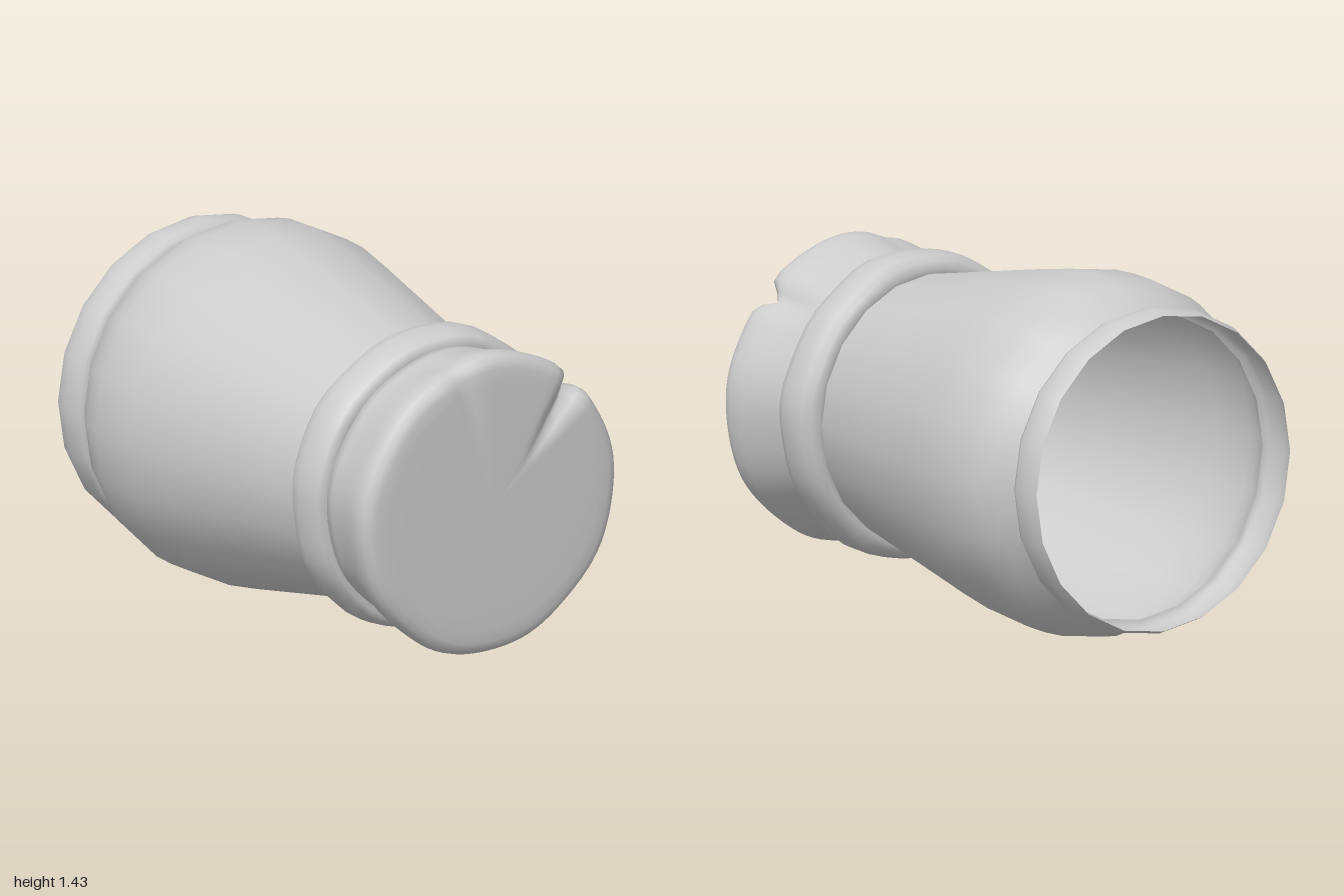
import * as THREE from 'three';
import { mergeVertices } from 'three/addons/utils/BufferGeometryUtils.js';

const AXIS_Y = 0.717;
const bump = (a, centre, width) => Math.exp(-(((a - centre) / width) ** 2));

// Lathe of [radius, z] pairs around the lying z axis, optionally reshaped by a rule
function turned(name, profile, sides, side, rule) {
  const points = profile.map(([r, z]) => new THREE.Vector2(r, z));
  let geo = new THREE.LatheGeometry(points, sides).rotateX(Math.PI / 2);
  if (rule) {
    const pos = geo.attributes.position;
    for (let i = 0; i < pos.count; i++) {
      const r = Math.hypot(pos.getX(i), pos.getY(i));
      const a = Math.atan2(pos.getY(i), pos.getX(i));
      const [r2, z2] = rule(r, a, pos.getZ(i));
      pos.setXYZ(i, r2 * Math.cos(a), r2 * Math.sin(a), z2);
    }
    geo.deleteAttribute('normal');
    geo.deleteAttribute('uv');
    geo = mergeVertices(geo, 1e-4);
    geo.computeVertexNormals();
  }
  const mesh = new THREE.Mesh(geo, new THREE.MeshStandardMaterial({ color: 0xcccccc, side }));
  mesh.name = name;
  mesh.position.y = AXIS_Y;
  return mesh;
}

export function createModel() {
  const group = new THREE.Group();
  group.name = 'lyingPot';

  // Thin hollow belly, widest towards the mouth
  group.add(turned('body', [
    [0.605, -0.855], [0.66, -0.78], [0.695, -0.71], [0.711, -0.64], [0.715, -0.54],
    [0.711, -0.43], [0.68, -0.26], [0.605, 0.1], [0.53, 0.46],
  ], 20, THREE.DoubleSide));

  // Flared lip around the open mouth
  group.add(turned('lip', [
    [0.626, -1], [0.638, -0.975], [0.645, -0.935], [0.639, -0.885], [0.627, -0.862], [0.605, -0.855],
  ], 20, THREE.DoubleSide));

  // Inner floor
  const floor = new THREE.Mesh(
    new THREE.CircleGeometry(0.53, 20),
    new THREE.MeshStandardMaterial({ color: 0xcccccc, side: THREE.DoubleSide })
  );
  floor.name = 'floor';
  floor.position.set(0, AXIS_Y, 0.458);
  group.add(floor);

  // Soft, slightly uneven collar between belly and foot
  group.add(turned('collar', [
    [0.5, 0.46], [0.545, 0.455], [0.575, 0.465], [0.598, 0.495], [0.606, 0.54], [0.602, 0.6],
    [0.585, 0.645], [0.56, 0.664], [0.5, 0.66], [0.5, 0.46],
  ], 48, THREE.DoubleSide, (r, a, z) => {
    const wave = 0.004 * Math.sin(5 * a + 1) + 0.003 * Math.sin(11 * a);
    return [r + (r > 0.55 ? wave : 0), z + (z > 0.5 ? 0.4 * wave : 0)];
  }));

  // Solid flared foot with a pinched fold and a small dent in its rim
  group.add(turned('foot', [
    [0.5, 0.64], [0.548, 0.655], [0.552, 0.7], [0.563, 0.76], [0.58, 0.83], [0.598, 0.89],
    [0.604, 0.935], [0.598, 0.965], [0.58, 0.988], [0.55, 0.997], [0.5, 1], [0.4, 1],
    [0.3, 1], [0.2, 1], [0, 1],
  ], 96, THREE.FrontSide, (r, a, z) => {
    const fold = bump(a, 0.8, 0.075);
    const dent = bump(a, 1.82, 0.09);
    const alongSide = THREE.MathUtils.smoothstep(z, 0.64, 0.9);
    const onFace = THREE.MathUtils.smoothstep(r, 0.2, 0.58) * THREE.MathUtils.smoothstep(z, 0.85, 1);
    const wave = r > 0.52 ? 0.004 * Math.sin(4 * a + 2) + 0.003 * Math.sin(9 * a) : 0;
    return [
      r + wave - alongSide * (r > 0.52 ? 0.045 * fold + 0.012 * dent : 0),
      z - onFace * (0.07 * fold + 0.02 * dent),
    ];
  }));

  return group;
}
